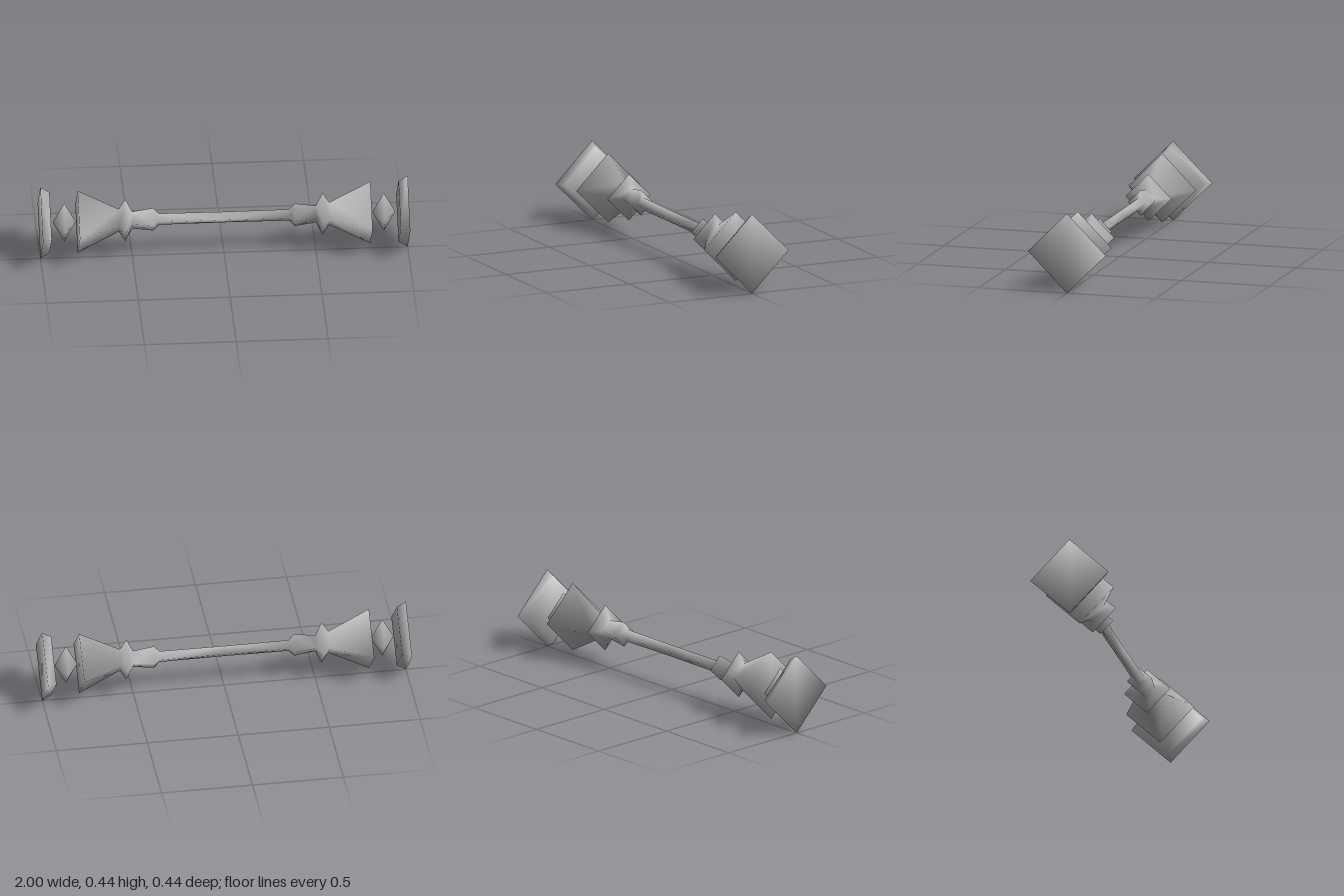
import * as THREE from 'three';
import { mergeVertices } from 'three/addons/utils/BufferGeometryUtils.js';

const CENTRE_Y = 0.221;

// Four-sided closed solid along x. rings: [x, radius]; leansOut(midX) picks each quad's diagonal.
// Vertices are shared, and normals are a plain average of the adjoining faces.
function squareTurning(rings, leansOut) {
  const pos = [], idx = [];
  for (const [x, r] of rings) {
    pos.push(x, r, 0, x, 0, -r, x, -r, 0, x, 0, r);
  }
  for (let k = 0; k + 1 < rings.length; k++) {
    const mid = (rings[k][0] + rings[k + 1][0]) / 2;
    const fromRight = leansOut(mid) === (mid > 0);
    for (let i = 0; i < 4; i++) {
      const j = (i + 1) % 4;
      const a = k * 4 + i, d = k * 4 + j, b = a + 4, c = d + 4;
      if (fromRight) idx.push(a, b, d, b, c, d);
      else idx.push(a, b, c, a, c, d);
    }
  }
  // end caps
  const e = (rings.length - 1) * 4;
  idx.push(0, 1, 2, 0, 2, 3, e, e + 3, e + 2, e, e + 2, e + 1);

  const vert = (i) => new THREE.Vector3().fromArray(pos, i * 3);
  const normals = pos.map(() => 0);
  for (let t = 0; t < idx.length; t += 3) {
    const [p, q, s] = [vert(idx[t]), vert(idx[t + 1]), vert(idx[t + 2])];
    const n = q.sub(p).cross(s.sub(p)).normalize();
    for (let m = 0; m < 3; m++) {
      const o = idx[t + m] * 3;
      normals[o] += n.x;
      normals[o + 1] += n.y;
      normals[o + 2] += n.z;
    }
  }
  const g = new THREE.BufferGeometry();
  g.setAttribute('position', new THREE.Float32BufferAttribute(pos, 3));
  g.setAttribute('normal', new THREE.Float32BufferAttribute(normals, 3));
  g.setIndex(idx);
  g.normalizeNormals();
  return g;
}

export function createModel() {
  const group = new THREE.Group();
  const metal = new THREE.MeshStandardMaterial({ color: 0xb8b8b8 });
  metal.name = 'grey metal';

  const add = (name, geometry, x = 0) => {
    const mesh = new THREE.Mesh(geometry, metal);
    mesh.name = name;
    mesh.position.set(x, CENTRE_Y, 0);
    group.add(mesh);
  };

  // handle: rod, grip swelling, collar and flared bell, mirrored about x = 0
  const half = [
    [0.355, 0.035], [0.385, 0.07], [0.5, 0.052],
    [0.537, 0.13], [0.573, 0.07], [0.797, 0.192],
  ];
  const mirrored = half.map(([x, r]) => [-x, r]).reverse();
  add('handle', squareTurning([...mirrored, [0, 0.033], ...half], (x) => Math.abs(x) > 0.5));

  // floating gems and end blocks
  for (const side of [1, -1]) {
    const label = side > 0 ? 'left' : 'right';

    let gem = new THREE.OctahedronGeometry(1, 0);
    gem.deleteAttribute('normal');
    gem.deleteAttribute('uv');
    gem = mergeVertices(gem);
    gem.scale(0.063, 0.118, 0.118);
    gem.computeVertexNormals();
    add(label + 'Gem', gem, side * 0.87);

    const rings = [[0.95 * side, 0.189], [side, 0.221]];
    if (side < 0) rings.reverse();
    add(label + 'EndBlock', squareTurning(rings, () => false));
  }
  return group;
}
